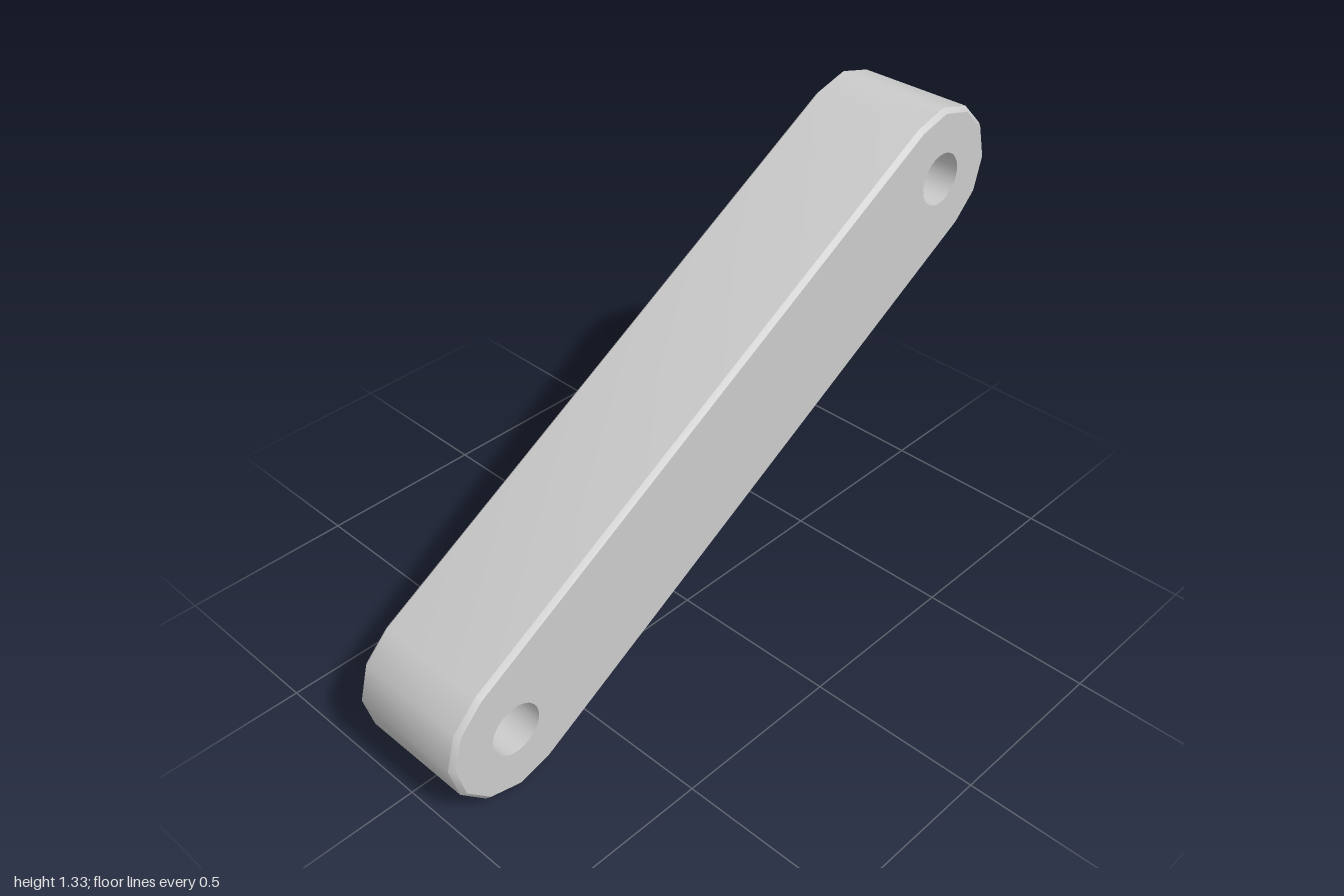
import * as THREE from 'three';
import { toCreasedNormals } from 'three/addons/utils/BufferGeometryUtils.js';

const R = 0.205, HOLE = 0.075, HALF = 0.183, BEVEL = 0.013;
const TILT = Math.PI / 6, SPAN = 0.918; // half distance between the hole centres

// Half-round ends joined by straight sides, counter-clockwise
function linkOutline(r, segments = 6) {
  const pts = [];
  for (const end of [0, 1]) {
    const cx = end ? -SPAN : SPAN;
    for (let i = 0; i <= segments; i++) {
      const a = -Math.PI / 2 + end * Math.PI + (i / segments) * Math.PI;
      pts.push(new THREE.Vector2(cx + r * Math.cos(a), r * Math.sin(a)));
    }
  }
  return pts;
}

function circle(cx, r, segments = 32) {
  return Array.from({ length: segments }, (_, i) => {
    const a = (i / segments) * Math.PI * 2;
    return new THREE.Vector2(cx + r * Math.cos(a), r * Math.sin(a));
  });
}

// Skin over rings of equal point count; rising z faces outward, falling z inward
function loft(rings) {
  const pos = [];
  for (let k = 0; k < rings.length - 1; k++) {
    const a = rings[k], b = rings[k + 1], n = a.pts.length;
    for (let i = 0; i < n; i++) {
      const j = (i + 1) % n;
      for (const [ring, m] of [[a, i], [a, j], [b, j], [a, i], [b, j], [b, i]])
        pos.push(ring.pts[m].x, ring.pts[m].y, ring.z);
    }
  }
  const geo = new THREE.BufferGeometry();
  geo.setAttribute('position', new THREE.Float32BufferAttribute(pos, 3));
  return toCreasedNormals(geo, Math.PI / 5);
}

export function createModel() {
  const material = new THREE.MeshStandardMaterial({ color: 0xcccccc });
  const group = new THREE.Group();
  group.name = 'linkBar';
  const add = (name, geometry) => {
    const mesh = new THREE.Mesh(geometry, material);
    mesh.name = name;
    group.add(mesh);
    return mesh;
  };

  // Rim with a chamfer along both edges
  const outer = linkOutline(R), inner = linkOutline(R - BEVEL);
  add('rim', loft([
    { pts: inner, z: -HALF },
    { pts: outer, z: -HALF + BEVEL },
    { pts: outer, z: HALF - BEVEL },
    { pts: inner, z: HALF },
  ]));

  // Flat faces with two pin holes
  const face = new THREE.Shape(inner);
  const holes = [-SPAN, SPAN].map((x) => circle(x, HOLE));
  face.holes = holes.map((pts) => new THREE.Path(pts));
  add('frontFace', new THREE.ShapeGeometry(face)).position.z = HALF;
  const back = add('backFace', new THREE.ShapeGeometry(face));
  back.position.z = -HALF;
  back.rotation.y = Math.PI;

  // Bores through the bar
  holes.forEach((pts, i) =>
    add(i ? 'upperBore' : 'lowerBore', loft([{ pts, z: HALF }, { pts, z: -HALF }])));

  // Lean the bar and rest its lower end on the ground
  group.rotation.z = TILT;
  group.position.y = SPAN * Math.sin(TILT) + R;
  const model = new THREE.Group();
  model.name = 'link';
  model.add(group);
  return model;
}
